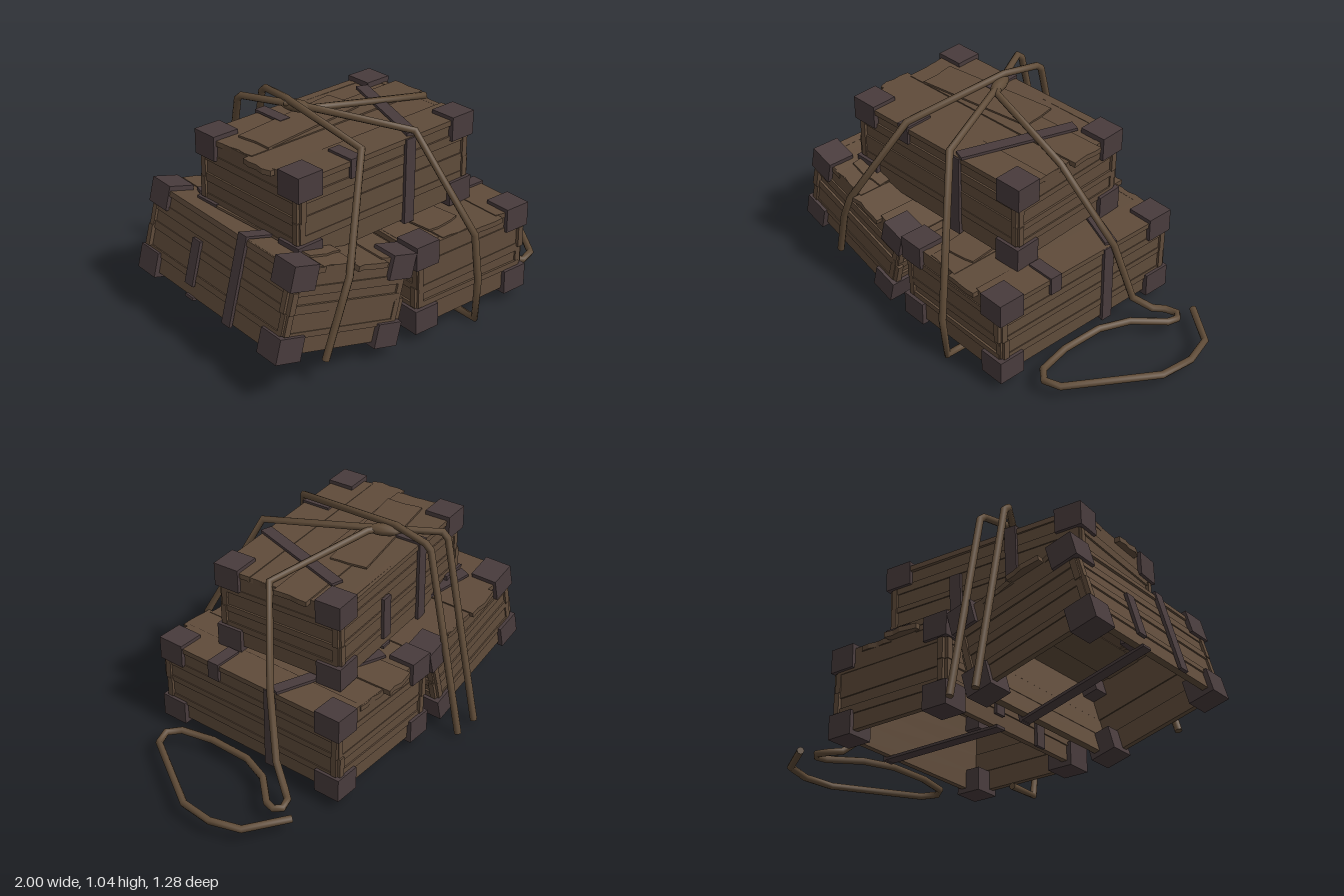
import * as THREE from 'three';

const material = (name, color, flatShading) => {
  const m = new THREE.MeshStandardMaterial({ color, flatShading });
  m.name = name;
  return m;
};
const wood = material('wood', 0x5f4b3a, true);
const metal = material('dark iron', 0x483b3c, true);
const rope = material('rope', 0x5f4b37, false);

// Small seeded generator: values from -1 to 1
function seeded(seed) {
  let s = seed;
  return () => {
    s = (s * 16807) % 2147483647;
    return (s / 2147483647) * 2 - 1;
  };
}

const W = 0.7, H = 0.455, L = 1.09; // outer crate size (x, y, z)

function box(parent, name, mat, size, pos, rot = [0, 0, 0]) {
  const m = new THREE.Mesh(new THREE.BoxGeometry(...size), mat);
  m.name = name;
  m.position.set(...pos);
  m.rotation.set(...rot);
  parent.add(m);
}

// Board lying flat along z with splintered ends
function splinteredBoard(parent, name, [width, length, thick], pos, rot, rnd) {
  const pts = [];
  for (const end of [1, -1]) {
    for (let i = 0; i <= 4; i++) {
      const x = (i / 4 - 0.5) * width * -end;
      pts.push(new THREE.Vector2(x, end * (length / 2 + rnd() * 0.009)));
    }
  }
  const g = new THREE.ExtrudeGeometry(new THREE.Shape(pts), { depth: thick, bevelEnabled: false });
  const m = new THREE.Mesh(g.rotateX(-Math.PI / 2), wood);
  m.name = name;
  m.position.set(...pos);
  m.rotation.set(...rot);
  parent.add(m);
}

// Hollow crate without a floor
function crate(name, seed) {
  const g = new THREE.Group();
  g.name = name;
  const rnd = seeded(seed);

  // Four rows of boards on every wall; the middle rows poke out at the corners
  const rows = 4, rowH = (H - 0.05) / rows;
  for (let i = 0; i < rows; i++) {
    const y = -H / 2 + 0.025 + rowH * (i + 0.5);
    const out = i === 1 || i === 2 ? 0.03 : 0;
    const h = rowH + 0.002;
    for (const s of [-1, 1]) {
      box(g, 'sideBoard', wood, [0.03, h, L - 0.05 + out + rnd() * 0.008],
        [s * (W / 2 - 0.038 + rnd() * 0.004), y, rnd() * 0.006], [rnd() * 0.003, 0, 0]);
      box(g, 'endBoard', wood, [W - 0.05 + out + rnd() * 0.008, h, 0.03],
        [rnd() * 0.006, y, s * (L / 2 - 0.038 + rnd() * 0.004)], [0, 0, rnd() * 0.004]);
    }
  }
  // Thin slats over the joints
  for (let i = 1; i < rows; i++) {
    const y = -H / 2 + 0.025 + rowH * i;
    for (const s of [-1, 1]) {
      box(g, 'sideSlat', wood, [0.016, 0.035 + rnd() * 0.008, L - 0.06],
        [s * (W / 2 - 0.024), y + rnd() * 0.012, 0], [rnd() * 0.008, 0, 0]);
      box(g, 'endSlat', wood, [W - 0.06, 0.035 + rnd() * 0.008, 0.016],
        [0, y + rnd() * 0.012, s * (L / 2 - 0.024)], [0, 0, rnd() * 0.012]);
    }
  }

  // Lid boards, slightly askew, the middle pair pushed out at opposite ends
  const shift = [0, -0.02, 0.012, 0], lidW = (W - 0.03) / 4;
  shift.forEach((dz, i) => {
    splinteredBoard(g, 'lidBoard', [lidW + 0.012, dz ? L - 0.005 : L - 0.04, 0.026],
      [(i - 1.5) * lidW, H / 2 - 0.05 + 0.005 * (i % 2), dz],
      [rnd() * 0.006, rnd() * 0.015, rnd() * 0.015], rnd);
  });
  // Loose broken board on the lid
  splinteredBoard(g, 'looseBoard', [0.19, 0.62, 0.01], [-0.12, H / 2 - 0.02, 0.12], [0, 0.12, 0], rnd);

  // Iron corner blocks
  for (const x of [-1, 1]) for (const y of [-1, 1]) for (const z of [-1, 1])
    box(g, 'cornerBlock', metal, [0.135, 0.12, 0.14],
      [x * (W / 2 - 0.0675), y * (H / 2 - 0.06), z * (L / 2 - 0.07)]);

  // Iron straps: walls, underside, folded lid ends and the diagonal one
  box(g, 'sideStrap', metal, [0.016, H - 0.03, 0.06], [W / 2 - 0.01, -0.005, -0.135]);
  box(g, 'sideStrap', metal, [0.016, H - 0.03, 0.06], [-W / 2 + 0.01, 0, 0.165]);
  box(g, 'shortStrap', metal, [0.016, 0.22, 0.06], [-W / 2 + 0.01, -0.04, -0.145]);
  box(g, 'undersideStrap', metal, [W - 0.02, 0.014, 0.06], [0, -H / 2 + 0.02, -0.135]);
  box(g, 'foldedStrap', metal, [0.016, 0.09, 0.065], [W / 2 - 0.008, H / 2 - 0.055, 0.205]);
  box(g, 'foldedStrap', metal, [0.15, 0.012, 0.065], [W / 2 - 0.075, H / 2 - 0.013, 0.205]);
  box(g, 'foldedStrap', metal, [0.18, 0.012, 0.06], [-W / 2 + 0.092, H / 2 - 0.013, 0.165]);
  box(g, 'diagonalStrap', metal, [0.59, 0.014, 0.06], [0.06, H / 2 - 0.009, -0.26], [0, -0.364, 0]);
  return g;
}

// Piecewise straight path, mitred at each point
class Polyline extends THREE.Curve {
  constructor(pts) {
    super();
    this.pts = pts.map((p) => new THREE.Vector3(...p));
  }
  getPoint(t, out = new THREE.Vector3()) {
    const n = this.pts.length - 1;
    const i = Math.min(Math.floor(t * n + 1e-6), n - 1);
    return out.lerpVectors(this.pts[i], this.pts[i + 1], t * n - i);
  }
  getPointAt(t, out) { return this.getPoint(t, out); }
  getTangentAt(t, out = new THREE.Vector3()) {
    const n = this.pts.length - 1, i = Math.round(t * n);
    out.set(0, 0, 0);
    for (const k of [i - 1, i]) {
      if (k >= 0 && k < n) out.add(this.pts[k + 1].clone().sub(this.pts[k]).normalize());
    }
    return out.normalize();
  }
}

function ropeLine(name, pts, r = 0.018) {
  const g = new THREE.Group();
  g.name = name;
  const path = new Polyline(pts);
  g.add(new THREE.Mesh(new THREE.TubeGeometry(path, pts.length - 1, r, 8), rope));
  // End caps
  for (const t of [0, 1]) {
    const cap = new THREE.Mesh(new THREE.CircleGeometry(r, 8), rope);
    const p = path.getPoint(t);
    cap.position.copy(p);
    cap.lookAt(p.clone().addScaledVector(path.getTangentAt(t), t ? 1 : -1));
    g.add(cap);
  }
  g.children.forEach((m, i) => { m.name = i ? 'ropeEnd' : 'ropeLength'; });
  return g;
}

export function createModel() {
  const model = new THREE.Group();
  model.name = 'roped crates';

  const place = (c, pos, yaw, tilt) => {
    c.position.set(...pos);
    c.rotation.set(0, yaw, tilt, 'ZYX');
    model.add(c);
  };
  place(crate('levelCrate', 11), [0.143, 0.283, 0.035], 0, 0);
  place(crate('tiltedCrate', 57), [-0.605, 0.36, 0.035], 0, -0.265);
  place(crate('topCrate', 203), [-0.225, 0.73, 0.03], -Math.PI / 2 + 0.073, -0.022);

  model.add(ropeLine('frontRope', [
    [-0.46, 0.02, -0.62], [-0.46, 0.98, -0.41], [-0.46, 1.005, -0.38], [-0.31, 1.0, -0.12],
    [-0.06, 0.98, 0.39], [0.13, 0.47, 0.6], [0.135, 0.24, 0.625], [0.14, 0.02, 0.607], [0.14, 0.02, 0.43]]));
  model.add(ropeLine('leftRope', [
    [-0.32, 0.02, -0.62], [-0.32, 0.98, -0.41], [-0.32, 1.005, -0.38], [-0.345, 1.025, -0.19],
    [-0.37, 0.985, 0.39], [-0.6, 0.52, 0.585], [-0.65, 0.4, 0.59], [-0.73, 0.14, 0.575]]));
  model.add(ropeLine('rightRope', [
    [-0.36, 1.01, -0.18], [-0.27, 0.99, -0.08], [0.3, 0.935, 0.045], [0.5, 0.5, -0.12], [0.56, 0.18, -0.2],
    [0.61, 0.095, -0.29], [0.65, 0.085, -0.34], [0.71, 0.085, -0.36], [0.738, 0.085, -0.33],
    [0.725, 0.085, -0.28], [0.6, 0.085, -0.15], [0.54, 0.085, 0], [0.535, 0.085, 0.22],
    [0.57, 0.085, 0.39], [0.63, 0.085, 0.44], [0.71, 0.085, 0.41], [0.965, 0.085, 0.01],
    [0.982, 0.085, -0.16], [0.935, 0.085, -0.31], [0.74, 0.085, -0.44]]));

  // Knot where the ropes meet
  const knot = new THREE.Mesh(new THREE.SphereGeometry(1, 8, 5), rope);
  knot.name = 'knot';
  knot.scale.set(0.035, 0.03, 0.09);
  knot.position.set(-0.32, 0.995, -0.14);
  knot.rotation.y = 0.45;
  model.add(knot);
  return model;
}
